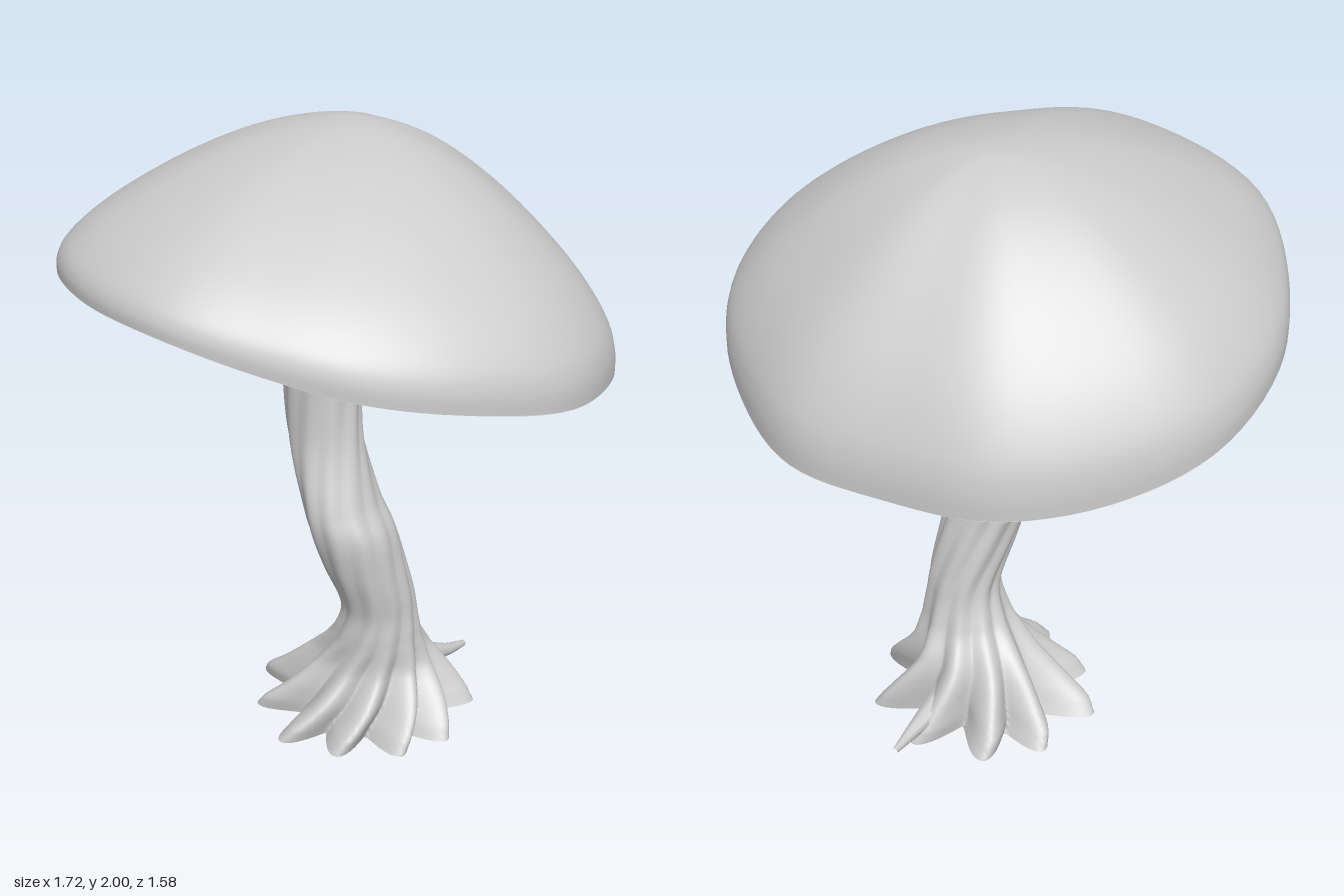
import * as THREE from 'three';

const V = (x, y, z) => new THREE.Vector3(x, y, z);
const TAU = Math.PI * 2;

// Smooth surface of rows x cols points, closed around the columns
function loft(rows, cols, point) {
  const pos = [], index = [];
  for (let i = 0; i <= rows; i++) {
    for (let j = 0; j < cols; j++) {
      const p = point(i / rows, j / cols);
      pos.push(p.x, p.y, p.z);
      if (i === rows) continue;
      const a = i * cols + j, b = i * cols + (j + 1) % cols;
      index.push(a, a + cols, b, b, a + cols, b + cols);
    }
  }
  const g = new THREE.BufferGeometry();
  g.setAttribute('position', new THREE.Float32BufferAttribute(pos, 3));
  g.setIndex(index);
  g.computeVertexNormals();
  return g;
}

// Tube along a path, tapering from r0 to r1
function taperedTube(points, r0, r1, rows = 14, cols = 8) {
  const curve = new THREE.CatmullRomCurve3(points);
  const f = curve.computeFrenetFrames(rows, false);
  return loft(rows, cols, (u, v) => {
    const i = Math.round(u * rows), r = r0 + (r1 - r0) * u;
    return curve.getPointAt(u)
      .addScaledVector(f.normals[i], r * Math.cos(v * TAU))
      .addScaledVector(f.binormals[i], -r * Math.sin(v * TAU));
  });
}

// Cap rim: radius and height every 22.5 degrees, from +x towards +z
const RIM = [
  [0.86, 1.35], [0.8, 1.41], [0.765, 1.47], [0.75, 1.54],
  [0.79, 1.61], [0.8, 1.61], [0.82, 1.59], [0.825, 1.52],
  [0.86, 1.43], [0.87, 1.33], [0.835, 1.25], [0.825, 1.22],
  [0.79, 1.21], [0.83, 1.22], [0.825, 1.25], [0.855, 1.31],
];
const rim = new THREE.CatmullRomCurve3(RIM.map(([r, y], i) => {
  const a = i / RIM.length * TAU;
  return V(r * Math.cos(a), y, r * Math.sin(a));
}), true);

// Dome: share of the way to the rim, share of the height
const DOME = new THREE.SplineCurve([
  [1, 0], [0.997, 0.1], [0.97, 0.21], [0.9, 0.345], [0.8, 0.485], [0.65, 0.65],
  [0.5, 0.785], [0.35, 0.89], [0.2, 0.96], [0.08, 0.994], [0, 1],
].map(p => new THREE.Vector2(...p)));
const APEX = V(-0.02, 2, -0.1);
function domePoint(u, v) {
  const d = DOME.getPoint(u), e = rim.getPoint(v);
  return V(
    APEX.x + (e.x - APEX.x) * d.x,
    e.y + (APEX.y - e.y) * d.y,
    APEX.z + (e.z - APEX.z) * d.x);
}

// Underside: nearly flat, with uneven bulges inside the rim and soft radial folds
const HUB = V(-0.05, 1.465, 0);
function gillPoint(s, v) {
  const p = HUB.clone().lerp(rim.getPoint(((v % 1) + 1) % 1), s);
  const a = v * TAU;
  const fade = Math.sin(Math.PI * s);
  const bulge = 0.012 + 0.014 * Math.sin(a * 5 + 1) + 0.012 * Math.sin(a * 9);
  const fold = 0.01 * Math.sin(a * 17 + 2 * Math.sin(s * 5 + a * 2));
  p.y += 0.012 * fade + fold * fade - bulge * Math.exp(-(((s - 0.8) / 0.12) ** 2));
  return p;
}

// Stem stations: y, centre x, centre z, radius x, radius z, depth of the grooves
const STEM = [
  [0, 0.03, -0.1, 0.37, 0.36, 0.48], [0.04, 0.035, -0.1, 0.35, 0.335, 0.46],
  [0.1, 0.05, -0.11, 0.295, 0.28, 0.38], [0.2, 0.065, -0.12, 0.205, 0.195, 0.24],
  [0.3, 0.1, -0.1, 0.145, 0.145, 0.13], [0.42, 0.115, -0.085, 0.118, 0.125, 0.09],
  [0.58, 0.09, -0.04, 0.125, 0.14, 0.08], [0.7, 0.065, -0.01, 0.13, 0.145, 0.07],
  [0.8, 0.03, 0, 0.113, 0.14, 0.06],
  [1, -0.04, -0.01, 0.123, 0.113, 0.06], [1.2, -0.06, -0.02, 0.12, 0.13, 0.08],
  [1.3, -0.06, -0.015, 0.135, 0.14, 0.13], [1.38, -0.055, 0, 0.19, 0.18, 0.22],
  [1.46, -0.05, 0, 0.31, 0.29, 0.35],
];
const axis = new THREE.CatmullRomCurve3(STEM.map(s => V(s[1], s[0], s[2])));
const girth = new THREE.CatmullRomCurve3(STEM.map(s => V(s[3], s[4], s[5])));
// Roots: angle and reach
const ROOTS = [
  [0.05, 1], [0.55, 0.95], [1.15, 0.9], [1.7, 1], [2.4, 0.85],
  [3.05, 1.02], [3.75, 1], [4.3, 1.02], [4.95, 1.05], [5.6, 1.05],
];
function lobe(a) {
  let best = 0;
  for (const [angle, reach] of ROOTS) {
    const d = Math.atan2(Math.sin(a - angle), Math.cos(a - angle));
    best = Math.max(best, reach * Math.exp(-((d / 0.23) ** 2)));
  }
  return best;
}
function stemPoint(u, v) {
  const c = axis.getPoint(u), g = girth.getPoint(u), a = v * TAU;
  const k = 1 - g.z * (1 - lobe(a + 1.6 * c.y));
  const p = V(c.x + g.x * k * Math.cos(a), Math.max(0, c.y), c.z + g.y * k * Math.sin(a));
  // the flared top leans with the cap
  p.y += 0.24 * p.z * THREE.MathUtils.smoothstep(c.y, 1.25, 1.46);
  return p;
}

export function createModel() {
  const model = new THREE.Group();
  const grey = new THREE.MeshStandardMaterial({ color: 0xcccccc });
  const thin = new THREE.MeshStandardMaterial({ color: 0xcccccc, side: THREE.DoubleSide });
  const add = (name, geometry, parent = model, material = grey) => {
    const mesh = new THREE.Mesh(geometry, material);
    mesh.name = name;
    parent.add(mesh);
  };

  add('cap', loft(50, 96, domePoint));
  add('capUnderside', loft(30, 192, (u, v) => gillPoint(0.02 + 0.98 * u, v)), model, thin);
  // Stem with spreading roots, hollow and open at the ground
  add('stem', loft(104, 160, stemPoint), model, thin);

  // Veins grow out of the stem and fork under the cap
  const veins = new THREE.Group();
  veins.name = 'veins';
  model.add(veins);
  const count = 11;
  for (let i = 0; i < count; i++) {
    const v = i / count + 0.014 * Math.sin(i * 5.1), a = v * TAU;
    const bend = 0.016 * Math.sin(i * 2.3);
    const foot = V(-0.06 + 0.06 * Math.cos(a), 1.22, -0.015 + 0.06 * Math.sin(a));
    const neck = V(-0.055 + 0.13 * Math.cos(a), 1.365 + 0.03 * Math.sin(a), 0.13 * Math.sin(a));
    add('vein', taperedTube([foot, neck, gillPoint(0.35, v), gillPoint(0.6, v + bend), gillPoint(0.9, v)],
      0.042, 0.006, 22), veins);
    for (const side of [-1, 1]) {
      const start = 0.34 + 0.1 * Math.sin(i * 3.7 + side);
      add('veinFork', taperedTube([
        gillPoint(start, v), gillPoint(start + 0.2, v + side * 0.02), gillPoint(0.88, v + side * 0.032),
      ], 0.024, 0.005), veins);
    }
  }

  // Long toe running out behind along the ground
  add('backRoot', taperedTube([
    V(0.08, 0.1, -0.28), V(0.1, 0.075, -0.38), V(0.12, 0.05, -0.47), V(0.13, 0.04, -0.55),
  ], 0.05, 0.01), model);

  return model;
}
